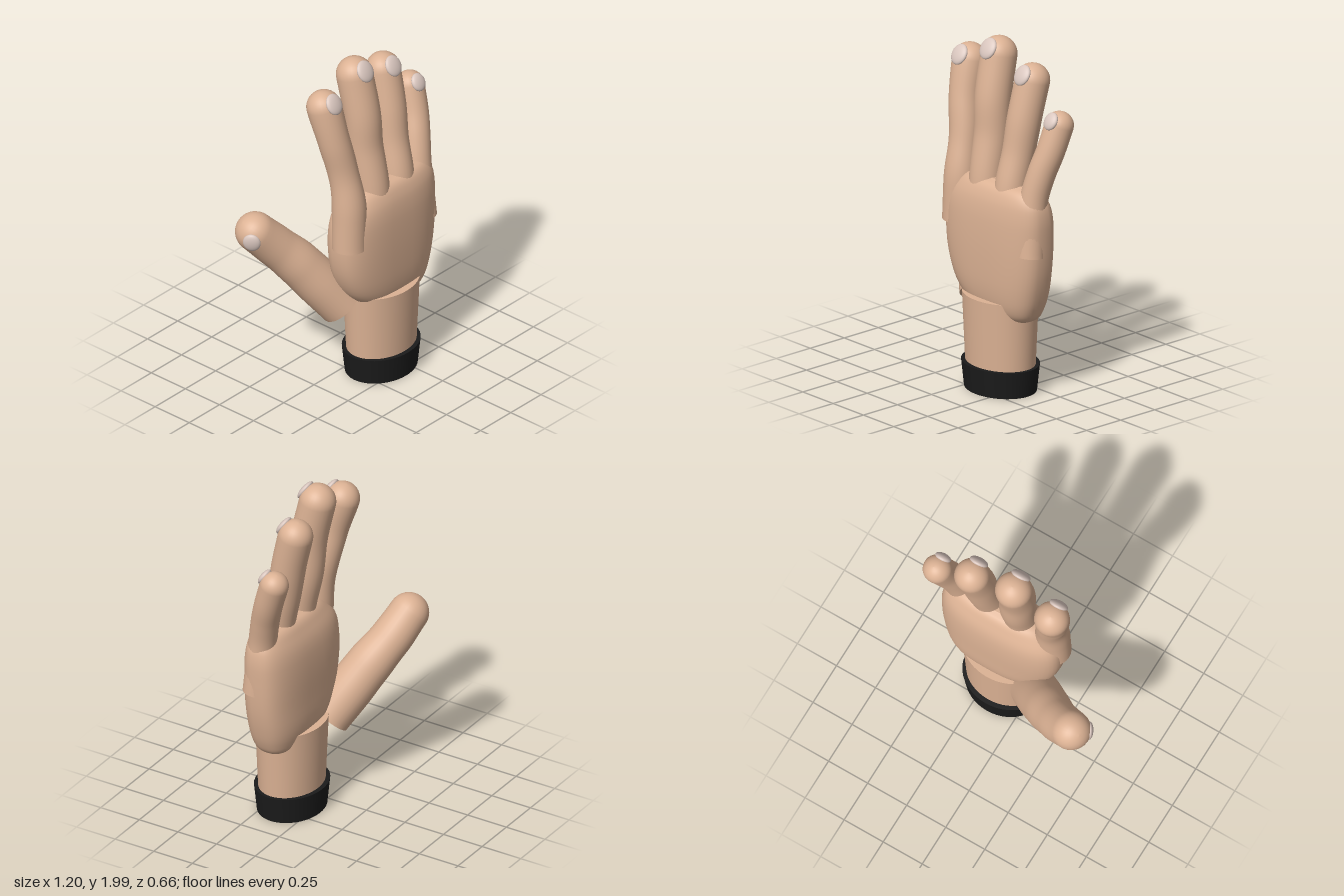
import * as THREE from 'three';

const V = (p) => new THREE.Vector3(...p);

// Skins a list of closed rings (arrays of Vector3) and closes both ends with flat caps
function loft(rings) {
  const n = rings[0].length, pos = [], idx = [];
  const put = (p) => pos.push(p.x, p.y, p.z) / 3 - 1;
  rings.forEach((ring) => ring.forEach(put));
  for (let i = 0; i < rings.length - 1; i++) {
    for (let j = 0; j < n; j++) {
      const a = i * n + j, b = i * n + (j + 1) % n;
      idx.push(a, b, a + n, b, b + n, a + n);
    }
  }
  [rings[0], rings[rings.length - 1]].forEach((ring, end) => {
    const centre = new THREE.Vector3();
    ring.forEach((p) => centre.addScaledVector(p, 1 / n));
    const c = put(centre), ids = ring.map(put);
    ids.forEach((a, j) => {
      const b = ids[(j + 1) % n];
      if (end) idx.push(c, a, b); else idx.push(c, b, a);
    });
  });
  const g = new THREE.BufferGeometry();
  g.setAttribute('position', new THREE.Float32BufferAttribute(pos, 3));
  g.setIndex(idx);
  g.computeVertexNormals();
  return g;
}

// Finger: round tube along a path with varying radius and a hemispherical tip
function fingerGeometry(points, radii) {
  const curve = new THREE.CatmullRomCurve3(points.map(V));
  const steps = 28, sides = 28, rings = [];
  const frames = curve.computeFrenetFrames(steps);
  const ring = (centre, r, k) => Array.from({ length: sides }, (_, j) => {
    const a = j / sides * Math.PI * 2;
    return centre.clone()
      .addScaledVector(frames.normals[k], r * Math.cos(a))
      .addScaledVector(frames.binormals[k], r * Math.sin(a));
  });
  for (let i = 0; i <= steps; i++) {
    const f = i / steps * (radii.length - 1), k = Math.min(Math.floor(f), radii.length - 2);
    const s = THREE.MathUtils.smoothstep(f - k, 0, 1);
    rings.push(ring(curve.getPointAt(i / steps), THREE.MathUtils.lerp(radii[k], radii[k + 1], s), i));
  }
  const tip = curve.getPointAt(1), r = radii[radii.length - 1];
  for (let i = 1; i <= 10; i++) {
    const a = i / 10 * Math.PI * 0.495;
    const c = tip.clone().addScaledVector(frames.tangents[steps], r * Math.sin(a));
    rings.push(ring(c, r * Math.cos(a), steps));
  }
  return loft(rings);
}

// Palm: stacked superellipse sections, each [y, x0, x1, z0, z1]
function palmGeometry() {
  const rows = [
    [0.437, 0.2, 0.36, 0.09, 0.17], [0.443, 0.06, 0.4, 0.05, 0.21], [0.465, 0, 0.43, 0.02, 0.24],
    [0.51, -0.06, 0.455, 0, 0.265], [0.6, -0.14, 0.485, -0.02, 0.285], [0.75, -0.2, 0.515, -0.025, 0.295],
    [0.95, -0.22, 0.53, -0.025, 0.295], [1.08, -0.2, 0.53, -0.01, 0.285], [1.16, -0.14, 0.51, 0.02, 0.265],
    [1.21, -0.07, 0.46, 0.05, 0.235], [1.23, 0.02, 0.38, 0.09, 0.19],
  ];
  const pow = (v) => Math.sign(v) * Math.abs(v) ** 0.75;
  const paths = [1, 2, 3, 4].map((k) => new THREE.CatmullRomCurve3(rows.map((r) => V([r[k], r[0], 0])), false, 'centripetal'));
  const rings = [];
  for (let i = 0; i <= 40; i++) {
    const p = paths.map((c) => c.getPoint(i / 40)), [x0, x1, z0, z1] = p.map((q) => q.x);
    rings.push(Array.from({ length: 48 }, (_, j) => {
      const a = -j / 48 * Math.PI * 2;
      return V([(x0 + x1) / 2 + (x1 - x0) / 2 * pow(Math.cos(a)), p[0].y, (z0 + z1) / 2 + (z1 - z0) / 2 * pow(Math.sin(a))]);
    }));
  }
  return loft(rings);
}

export function createModel() {
  const skin = new THREE.MeshStandardMaterial({ color: 0xdcb294 });
  skin.name = 'skin';
  const nail = new THREE.MeshStandardMaterial({ color: 0xd9c6be });
  nail.name = 'nail';
  const black = new THREE.MeshStandardMaterial({ color: 0x1b1b1b });
  black.name = 'black cuff';

  const hand = new THREE.Group();
  hand.name = 'hand';
  const add = (name, geometry, material) => {
    const m = new THREE.Mesh(geometry, material);
    m.name = name;
    hand.add(m);
    return m;
  };

  // Oval cuff and wrist
  const cuff = add('cuff', new THREE.CylinderGeometry(0.24, 0.222, 0.155, 48), black);
  cuff.position.set(0.157, 0.0775, 0.132);
  cuff.scale.z = 0.82;
  const wrist = add('wrist', new THREE.CylinderGeometry(0.24, 0.218, 0.45, 48), skin);
  wrist.position.set(0.157, 0.325, 0.133);
  wrist.scale.z = 0.775;

  add('palm', palmGeometry(), skin);

  // Digits: path from base to tip, radii along it, nail direction, nail half width
  const up = [0, 0.52, 0.85];
  const digits = [
    ['indexFinger', [[-0.143, 0.91, 0.165], [-0.138, 1.2, 0.155], [-0.152, 1.4, 0.12], [-0.188, 1.6, 0.085], [-0.207, 1.79, 0.035]],
      [0.097, 0.097, 0.086, 0.09, 0.098], up, 0.055],
    ['middleFinger', [[0.065, 0.95, 0.16], [0.062, 1.2, 0.15], [0.055, 1.45, 0.105], [0.048, 1.65, 0.09], [0.04, 1.89, 0.04]],
      [0.095, 0.097, 0.1, 0.103, 0.103], up, 0.057],
    ['ringFinger', [[0.265, 0.95, 0.17], [0.268, 1.2, 0.15], [0.277, 1.4, 0.105], [0.288, 1.6, 0.07], [0.297, 1.8, 0.022]],
      [0.092, 0.094, 0.092, 0.097, 0.098], up, 0.055],
    ['littleFinger', [[0.45, 0.85, 0.175], [0.442, 1.15, 0.145], [0.47, 1.32, 0.11], [0.5, 1.45, 0.07], [0.518, 1.595, 0.022]],
      [0.08, 0.081, 0.079, 0.08, 0.081], up, 0.047],
    ['thumb', [[-0.08, 0.47, 0.05], [-0.165, 0.6, -0.02], [-0.28, 0.77, -0.11], [-0.38, 0.89, -0.175], [-0.485, 1.008, -0.222]],
      [0.13, 0.132, 0.128, 0.118, 0.112], [-0.85, -0.12, 0.5], 0.05],
  ];
  for (const [name, path, radii, dir, w] of digits) {
    add(name, fingerGeometry(path, radii), skin);
    // Nail: flattened ellipsoid set into the fingertip
    const n = V(dir).normalize(), plate = add(name + 'Nail', new THREE.SphereGeometry(1, 24, 16), nail);
    plate.scale.set(w, w * 1.1, 0.022);
    plate.quaternion.setFromUnitVectors(V([0, 0, 1]), n);
    plate.position.copy(V(path[4])).addScaledVector(n, radii[4] * 0.9);
  }
  return hand;
}
